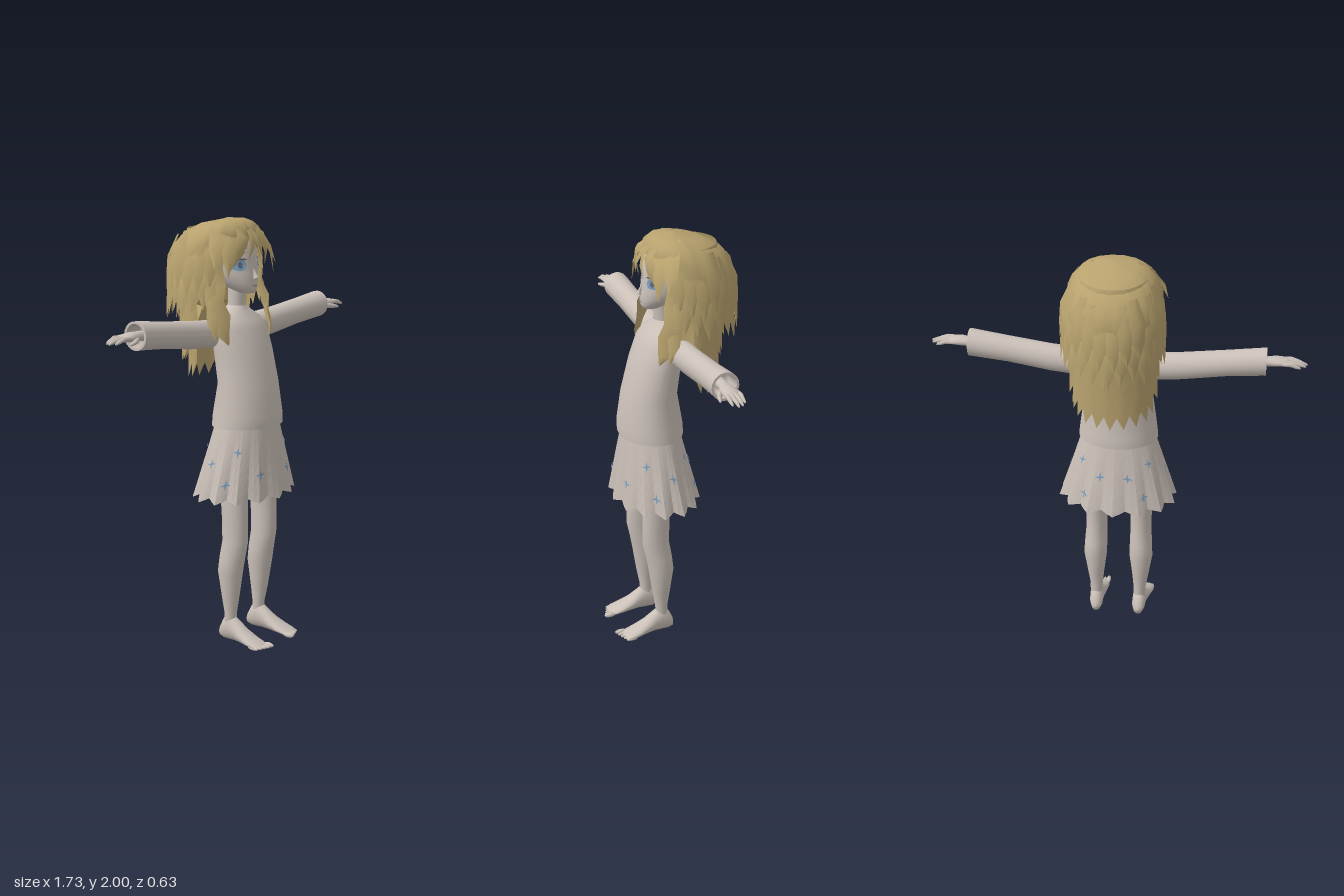
import * as THREE from 'three';

const mat = (name, color, open) => {
  const m = new THREE.MeshStandardMaterial({ color });
  m.name = name;
  if (open) m.side = THREE.DoubleSide;
  return m;
};

// Geometry from a grid of points: rows go upward, columns run counter-clockwise seen from above
function grid(rows, cols, point) {
  const pos = [], idx = [];
  for (let r = 0; r < rows; r++) for (let c = 0; c <= cols; c++) pos.push(...point(r, c));
  for (let r = 0; r < rows - 1; r++) for (let c = 0; c < cols; c++) {
    const a = r * (cols + 1) + c, b = a + cols + 1;
    idx.push(a, a + 1, b + 1, a, b + 1, b);
  }
  const g = new THREE.BufferGeometry();
  g.setAttribute('position', new THREE.Float32BufferAttribute(pos, 3));
  g.setIndex(idx);
  g.computeVertexNormals();
  return g;
}

// Smooth body through elliptical sections [height, cx, cz, rx, rz]
function loft(secs, seg = 20) {
  const g = grid(secs.length, seg, (r, c) => {
    const [y, cx, cz, rx, rz] = secs[r], a = (c / seg) * Math.PI * 2;
    return [cx + rx * Math.sin(a), y, cz + rz * Math.cos(a)];
  });
  const n = g.attributes.normal; // blend the normals across the seam
  const v = new THREE.Vector3(), w = new THREE.Vector3();
  for (let r = 0; r < secs.length; r++) {
    const i = r * (seg + 1), j = i + seg;
    v.fromBufferAttribute(n, i).add(w.fromBufferAttribute(n, j)).normalize();
    n.setXYZ(i, v.x, v.y, v.z);
    n.setXYZ(j, v.x, v.y, v.z);
  }
  return g;
}
// Sections along x: [x, cy, cz, ry, rz]; along z: [z, cx, cy, rx, ry]
const loftX = (s, seg) => loft(s.map(([x, y, z, a, b]) => [x, -y, z, a, b]), seg).rotateZ(-Math.PI / 2);
const loftZ = (s, seg) => loft(s.map(([z, x, y, a, b]) => [z, x, -y, a, b]), seg).rotateX(Math.PI / 2);

function mirrored(geo) {
  const g = geo.clone().scale(-1, 1, 1), i = g.index.array;
  for (let k = 0; k < i.length; k += 3) [i[k], i[k + 1]] = [i[k + 1], i[k]];
  g.computeVertexNormals();
  return g;
}

// Tapered ridged ribbon of hair through [x, y, z, halfWidth]
function lock(path) {
  const P = path.map(p => new THREE.Vector3(p[0], p[1], p[2]));
  return grid(path.length, 2, (r, c) => {
    const p = P[r], w = path[r][3];
    const t = P[Math.max(r - 1, 0)].clone().sub(P[Math.min(r + 1, P.length - 1)]);
    const out = new THREE.Vector3(p.x, 0, p.z + 0.08).normalize();
    const side = t.cross(out).normalize();
    return p.clone().addScaledVector(side, (c - 1) * w).addScaledVector(out, c === 1 ? w * 0.35 : 0).toArray();
  });
}

// Open shell of hair from a0 to a1 (0 = front) with a zigzag lower edge; rows [y, cz, rx, rz] upward
function hairShell(rows, tips, a0, a1, zig, warp) {
  return grid(rows.length, tips * 2, (r, c) => {
    const [y, cz, rx, rz] = rows[r], a = a0 + (a1 - a0) * c / (tips * 2);
    const k = (1 - r / (rows.length - 1)) * (c % 2 ? 0.05 : -0.02) + 1;
    const p = [rx * k * Math.sin(a), y, cz + rz * k * Math.cos(a)];
    if (r === 0 && c % 2) p[1] -= zig;
    return warp(p, a, r);
  });
}

export function createModel() {
  const body = new THREE.Group();
  body.name = 'girl';
  const skin = mat('skin', 0xcac0b8);
  const knit = mat('sweater', 0xcac0b8, true);
  const cloth = mat('skirtCloth', 0xc6bcb4, true);
  const hair = mat('hair', 0xb8a26e, true);
  const blue = mat('blue', 0x7b9dbd, true);
  const dark = mat('lashes', 0x5f6670, true);
  const lips = mat('lips', 0x9c8c86, true);
  const add = (name, geo, m) => {
    const mesh = new THREE.Mesh(geo, m);
    mesh.name = name;
    body.add(mesh);
  };
  const pair = (name, geo, m) => {
    add(name + 'Left', geo, m);
    add(name + 'Right', mirrored(geo), m);
  };

  // Head and neck
  const head = [
    [1.655, 0, 0.085, 0, 0], [1.66, 0, 0.08, 0.03, 0.04], [1.68, 0, 0.06, 0.058, 0.07],
    [1.71, 0, 0.03, 0.083, 0.1], [1.75, 0, 0, 0.103, 0.128], [1.8, 0, -0.02, 0.11, 0.138],
    [1.86, 0, -0.025, 0.112, 0.145], [1.92, 0, -0.03, 0.1, 0.13], [1.96, 0, -0.03, 0.07, 0.09], [1.98, 0, -0.03, 0, 0]];
  add('head', loft(head, 28), skin);
  add('neck', loft([[1.55, 0, 0.02, 0.045, 0.045], [1.62, 0, 0.025, 0.038, 0.04], [1.7, 0, 0.03, 0.042, 0.045]]), skin);
  const nose = new THREE.ConeGeometry(0.014, 0.05, 6).rotateX(-0.35).translate(0, 1.752, 0.131);
  add('nose', nose, skin);

  // Face details laid on the head surface
  const faceZ = (x, y) => {
    const i = head.findIndex(s => s[0] > y), a = head[i - 1], b = head[i], t = (y - a[0]) / (b[0] - a[0]);
    const [, , cz, rx, rz] = a.map((v, k) => v + (b[k] - v) * t);
    return cz + rz * Math.sqrt(Math.max(0, 1 - (x / rx) ** 2));
  };
  const onFace = (x, y, w, h, lift = 0.004) => {
    const g = new THREE.CircleGeometry(1, 16).scale(w, h, 1).translate(x, y, 0), p = g.attributes.position;
    for (let i = 0; i < p.count; i++) p.setZ(i, faceZ(p.getX(i), p.getY(i)) + lift);
    g.computeVertexNormals();
    return g;
  };
  pair('eye', onFace(0.068, 1.79, 0.027, 0.026), blue);
  pair('pupil', onFace(0.066, 1.79, 0.008, 0.015, 0.006), dark);
  pair('eyelash', onFace(0.07, 1.816, 0.031, 0.005, 0.007), dark);
  pair('eyebrow', onFace(0.065, 1.845, 0.03, 0.004, 0.005), hair);
  add('mouth', onFace(0, 1.695, 0.02, 0.004), lips);

  // Sweater with hollow cuffs
  add('sweaterBody', loft([
    [1.05, 0, 0.09, 0.16, 0.125], [1.05, 0, 0.09, 0.19, 0.15], [1.05, 0, 0.09, 0.19, 0.15], [1.1, 0, 0.092, 0.184, 0.15],
    [1.25, 0, 0.094, 0.164, 0.126], [1.4, 0, 0.064, 0.166, 0.114], [1.5, 0, 0.043, 0.164, 0.096],
    [1.54, 0, 0.032, 0.14, 0.08], [1.575, 0, 0.025, 0.085, 0.055], [1.6, 0, 0.025, 0.042, 0.042]], 28), knit);
  pair('sleeve', loftX([
    [0.1, 1.475, 0.0, 0.05, 0.05], [0.17, 1.48, -0.005, 0.065, 0.06], [0.3, 1.49, -0.003, 0.064, 0.058],
    [0.5, 1.515, 0.004, 0.061, 0.058], [0.67, 1.533, 0.008, 0.064, 0.063], [0.68, 1.533, 0.008, 0.064, 0.063],
    [0.68, 1.533, 0.008, 0.064, 0.063], [0.68, 1.533, 0.008, 0.053, 0.052], [0.68, 1.533, 0.008, 0.053, 0.052],
    [0.6, 1.525, 0.006, 0.05, 0.05], [0.6, 1.525, 0.006, 0, 0]]), knit);

  // Hands
  pair('palm', loftX([
    [0.58, 1.527, 0.01, 0.025, 0.026], [0.68, 1.533, 0.012, 0.021, 0.026], [0.72, 1.535, 0.017, 0.021, 0.036],
    [0.77, 1.535, 0.017, 0.016, 0.037], [0.79, 1.533, 0.017, 0, 0]], 14), skin);
  [[-0.014, 0.835], [0.006, 0.858], [0.026, 0.865], [0.045, 0.845]].forEach(([z, tip], i) =>
    pair('finger' + (i + 1), loftX([
      [0.75, 1.536, z, 0.009, 0.009], [0.79, 1.536, z, 0.011, 0.0095], [tip - 0.025, 1.528, z, 0.009, 0.008],
      [tip - 0.006, 1.522, z, 0.006, 0.005], [tip, 1.52, z, 0, 0]], 8), skin));
  pair('thumb', loftX([
    [0.685, 1.527, 0.03, 0.01, 0.008], [0.71, 1.523, 0.047, 0.013, 0.013], [0.745, 1.518, 0.063, 0.01, 0.01],
    [0.77, 1.514, 0.069, 0.007, 0.006], [0.778, 1.513, 0.07, 0, 0]], 8), skin);

  // Legs, feet and toes
  pair('leg', loft([
    [0.06, 0.11, 0.075, 0.03, 0.03], [0.14, 0.11, 0.077, 0.03, 0.03], [0.22, 0.113, 0.079, 0.04, 0.043],
    [0.35, 0.115, 0.08, 0.058, 0.061], [0.42, 0.113, 0.09, 0.056, 0.064], [0.5, 0.111, 0.105, 0.052, 0.066],
    [0.6, 0.111, 0.104, 0.053, 0.066], [0.72, 0.112, 0.1, 0.057, 0.068], [0.95, 0.1, 0.09, 0.07, 0.08]]), skin);
  pair('foot', loftZ([
    [0.015, 0.108, 0.035, 0, 0], [0.022, 0.108, 0.038, 0.022, 0.028], [0.045, 0.109, 0.058, 0.033, 0.054],
    [0.08, 0.11, 0.07, 0.035, 0.066], [0.115, 0.111, 0.06, 0.037, 0.054], [0.16, 0.113, 0.041, 0.043, 0.036],
    [0.21, 0.117, 0.026, 0.05, 0.022], [0.25, 0.118, 0.017, 0.049, 0.013], [0.275, 0.118, 0.013, 0.038, 0.005]], 16), skin);
  for (let i = 0; i < 5; i++) {
    const r = i ? 0.009 : 0.012;
    pair('toe' + (i + 1), new THREE.SphereGeometry(1, 10, 8).scale(r, r, 0.03)
      .translate(0.079 + i * 0.0195, r + 0.002, 0.28 - i * 0.008), skin);
  }

  // Pleated skirt, t from waist (0) to hem (1)
  const skirtPoint = (a, t, lift = 0) => {
    const wave = Math.abs(((a / (Math.PI * 2)) * 14 + 28) % 1 * 2 - 1);
    const k = 1 - 0.1 * t * (1 - wave);
    return [((0.17 + 0.12 * t) * k + lift) * Math.sin(a), 1.07 - (0.335 + 0.022 * wave) * t,
      0.09 - 0.018 * t + ((0.13 + 0.078 * t) * k + lift) * Math.cos(a)];
  };
  const skirt = grid(7, 56, (r, c) => skirtPoint(c / 56 * Math.PI * 2, 1 - r / 6)).toNonIndexed();
  skirt.computeVertexNormals();
  add('skirt', skirt, cloth);

  // Four-pointed stars on the skirt
  [[0.42, 0.845], [0.98, 0.95], [1.18, 0.8], [1.68, 0.89], [2.3, 0.96], [2.55, 0.8], [2.85, 0.9]].forEach(([a, y], n) => {
    const pt = (dx, dy) => skirtPoint(a + dx / 0.22, (1.07 - y - dy) / 0.345, 0.006);
    const star = grid(2, 8, (r, c) => {
      const b = c / 8 * Math.PI * 2, s = r ? 0 : (c % 2 ? 0.007 : 0.026);
      return pt(s * Math.cos(b), s * Math.sin(b));
    });
    pair('skirtStar' + (n + 1), star, blue);
  });

  // Hair cap: sloping dome, shorter over the face
  add('hairCap', hairShell([
    [1.75, -0.1, 0.22, 0.205], [1.83, -0.1, 0.217, 0.205], [1.9, -0.095, 0.196, 0.192],
    [1.955, -0.08, 0.155, 0.155], [1.985, -0.055, 0.1, 0.1], [1.995, -0.03, 0, 0]], 18, 0, Math.PI * 2, 0.06, ([x, y, z], a) => {
    const front = Math.max(0, Math.cos(a));
    y = 2 - (2 - y) * (1 - 0.55 * Math.min(1, front * 1.4));
    return [x, Math.min(2, y + 0.13 * Math.min(0, z + 0.03)), z];
  }), hair);

  // Layers of back hair, each tucked under the one above
  [[1.95, 1.63, 0.205, 0.205], [1.8, 1.53, 0.2, 0.185], [1.7, 1.43, 0.195, 0.17], [1.6, 1.35, 0.18, 0.135]].forEach(([top, low, rx, rz], i) =>
    add('backHair' + (i + 1), hairShell([
      [low, -0.06, rx, rz], [low + 0.09, -0.06, rx, rz], [(top + low) / 2 + 0.05, -0.06, rx * 0.97, rz * 0.97], [top, -0.06, rx * 0.75, rz * 0.8]],
    9, 1.45 + i * 0.06, Math.PI * 2 - 1.45 - i * 0.06, 0.06, ([x, y, z], a, r) =>
      [x, y + (r < 2 ? 0.05 * Math.cos(a) : 0), z]), hair));

  // Spiky tufts around the cap
  for (let i = 0; i < 9; i++) for (let row = 0; row < 2; row++) {
    const a = 1.0 + i * 0.25 + row * 0.12, s = Math.sin(a), c = Math.cos(a), d = (i % 3) * 0.02 + row * 0.09;
    const at = (r, y, w) => [r * s, y - d - 0.04 * Math.max(0, -c), -0.1 + r * 0.95 * c, w];
    pair('tuft', lock([at(0.235, 1.68, 0), at(0.226, 1.76, 0.03), at(0.216, 1.85, 0.04), at(0.175, 1.95, 0.02)]), hair);
  }

  // Bangs, temple locks and long wavy front locks, from tip to root
  [
    [[0.055, 1.81, 0.135, 0], [0.03, 1.87, 0.138, 0.014], [0.012, 1.92, 0.12, 0.018], [0.005, 1.975, 0.07, 0.01]],
    [[0.125, 1.77, 0.09, 0], [0.1, 1.85, 0.115, 0.025], [0.07, 1.92, 0.115, 0.034], [0.03, 1.98, 0.05, 0.02]],
    [[0.17, 1.74, 0.11, 0], [0.155, 1.83, 0.1, 0.028], [0.12, 1.91, 0.08, 0.04], [0.06, 1.98, 0.02, 0.03]],
    [[0.225, 1.78, 0.08, 0], [0.2, 1.86, 0.06, 0.03], [0.15, 1.93, 0.04, 0.04], [0.08, 1.98, 0, 0.03]],
    [[0.15, 1.43, 0.1, 0], [0.175, 1.49, 0.085, 0.03], [0.165, 1.56, 0.07, 0.04], [0.19, 1.63, 0.055, 0.036],
      [0.155, 1.7, 0.04, 0.036], [0.165, 1.78, 0.03, 0.035], [0.13, 1.88, 0.03, 0.03]],
    [[0.2, 1.45, 0.07, 0], [0.215, 1.52, 0.055, 0.025], [0.185, 1.6, 0.04, 0.034], [0.195, 1.68, 0.02, 0.03],
      [0.17, 1.76, 0, 0.035], [0.16, 1.86, 0, 0.03]],
  ].forEach((p, i) => pair('frontLock' + (i + 1), lock(p), hair));

  return body;
}
